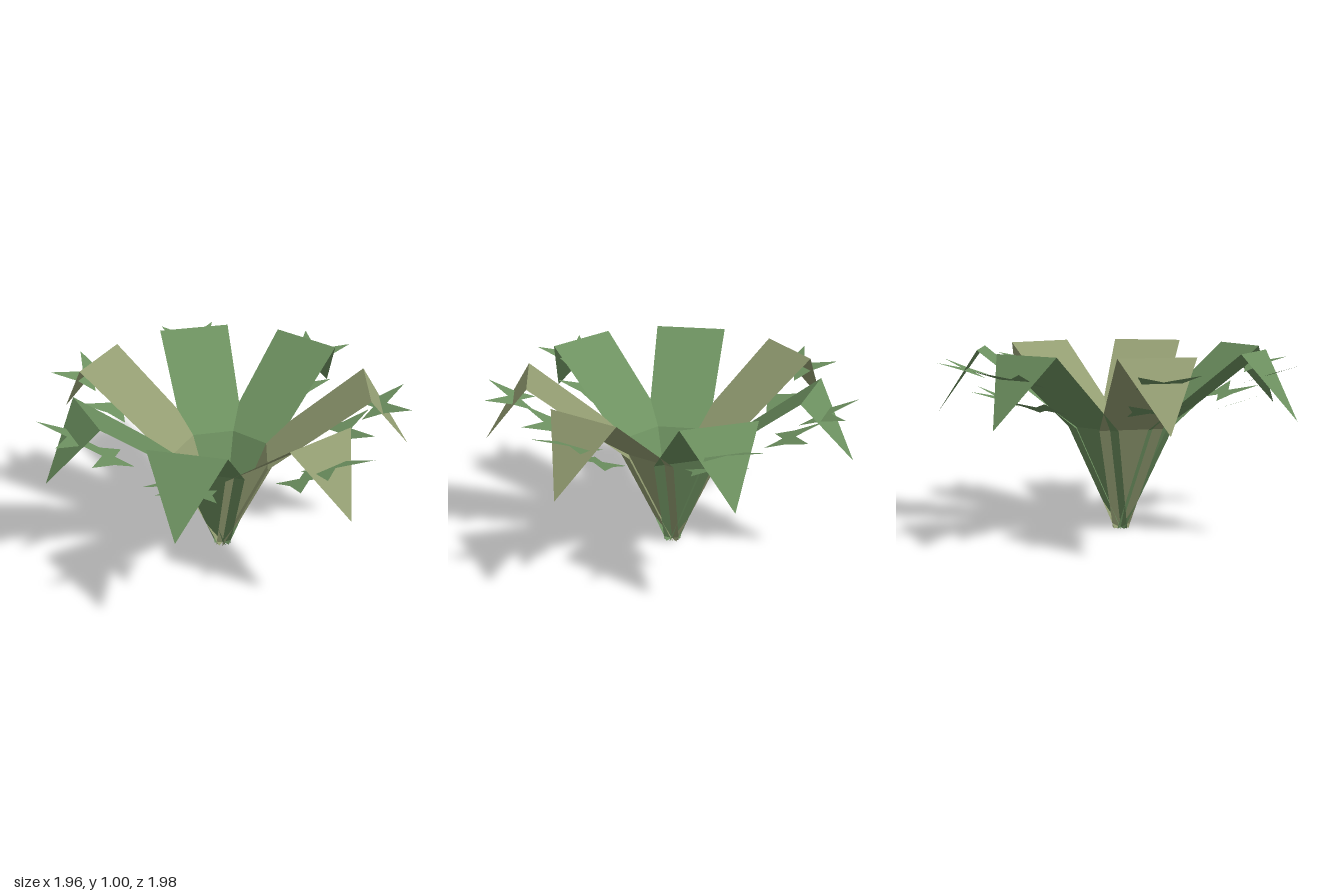
import * as THREE from 'three';

const mat = (name, color) => {
  const m = new THREE.MeshStandardMaterial({ color, side: THREE.DoubleSide, flatShading: true });
  m.name = name;
  return m;
};

// Flat-shaded surface from a list of corner points and triangles
function facets(points, tris) {
  const g = new THREE.BufferGeometry();
  g.setAttribute('position', new THREE.Float32BufferAttribute(tris.flat().flatMap(i => points[i]), 3));
  g.computeVertexNormals();
  return g;
}

// Leaf: strip widening outwards, ending in a drooping point
function leafGeometry() {
  const rows = [[0, 0, 0.045], [0.24, 0.58, 0.173], [0.76, 1, 0.2]]; // radius, height, half width
  const points = rows.flatMap(([r, y, w]) => [[r, y, w], [r, y, -w]]);
  points.push([1, 0.65, 0]);
  const tris = [];
  for (let i = 0; i < 4; i += 2) tris.push([i, i + 2, i + 1], [i + 1, i + 2, i + 3]);
  tris.push([4, 6, 5]);
  return facets(points, tris);
}

// Spike cluster: four-pointed plate tilted upwards towards its outer points
function spikeGeometry() {
  const outline = [[0.98, 0.155], [0.87, 0], [0.98, -0.155], [0.84, -0.1],
    [0.73, -0.1], [0.8, 0], [0.73, 0.1], [0.84, 0.1]];
  const points = outline.map(([r, t]) => [r, 0.845 + (r - 0.73) * 0.34, t]);
  return facets(points, [[0, 1, 7], [1, 2, 3], [3, 4, 5], [5, 6, 7], [1, 3, 5], [1, 5, 7]]);
}

export function createModel() {
  const model = new THREE.Group();
  model.name = 'plant';
  const green = mat('leafGreen', 0x6d9160);
  const olive = mat('oliveGreen', 0x939d72);
  const leafGeo = leafGeometry();
  const spikeGeo = spikeGeometry();
  const colours = [olive, green, green, olive, green, green, olive];

  colours.forEach((colour, i) => {
    const frond = new THREE.Group();
    frond.name = 'frond' + (i + 1);
    frond.position.x = 0.018;
    frond.rotation.y = -(THREE.MathUtils.degToRad(27) + (i * Math.PI * 2) / 7);

    const leaf = new THREE.Mesh(leafGeo, colour);
    leaf.name = 'leaf';
    frond.add(leaf);

    // Upper cluster pierces the drooping tip, lower one hangs under the leaf
    [['upperSpikes', 0, 0], ['lowerSpikes', -0.18, -0.155]].forEach(([name, dr, dy]) => {
      const spikes = new THREE.Mesh(spikeGeo, green);
      spikes.name = name;
      spikes.position.set(dr, dy, 0);
      frond.add(spikes);
    });
    model.add(frond);
  });
  return model;
}
